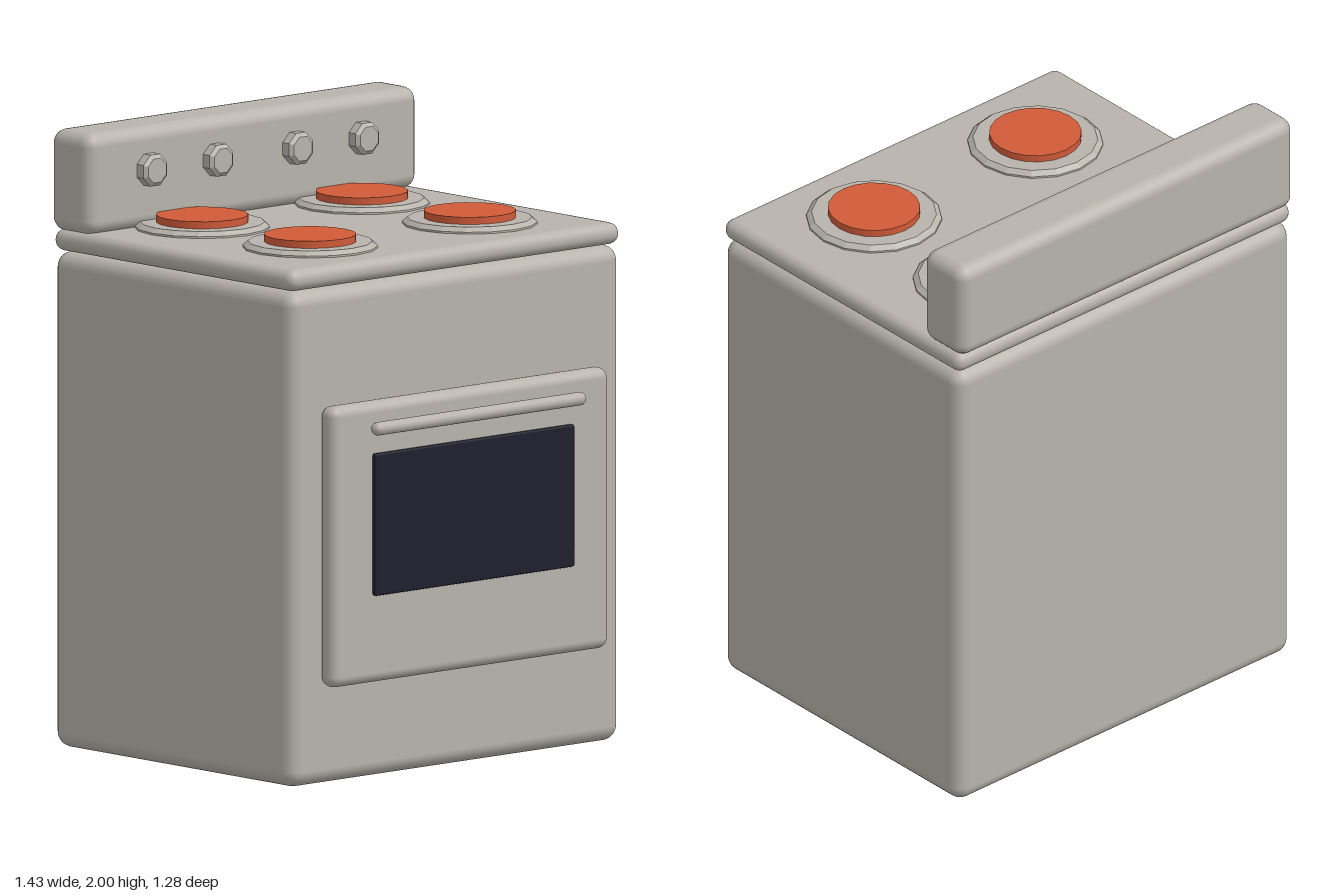
import * as THREE from 'three';
import { RoundedBoxGeometry } from 'three/addons/geometries/RoundedBoxGeometry.js';

export function createModel() {
  const material = (name, color, extra = {}) => {
    const m = new THREE.MeshStandardMaterial({ color, ...extra });
    m.name = name;
    return m;
  };
  const enamel = material('warm grey enamel', 0xb8b4ac);
  const facetedEnamel = enamel;
  const glass = material('dark glass', 0x1f1f2e);
  const hot = material('glowing orange', 0xd05a38);

  const stove = new THREE.Group();
  stove.name = 'stove';

  const add = (name, geometry, mat, x = 0, y = 0, z = 0) => {
    const mesh = new THREE.Mesh(geometry, mat);
    mesh.name = name;
    mesh.position.set(x, y, z);
    stove.add(mesh);
    return mesh;
  };

  // Rounded box given by its lower and upper limits, centred on x = 0
  const block = (name, halfX, y0, y1, z0, z1, radius) =>
    add(name, new RoundedBoxGeometry(halfX * 2, y1 - y0, z1 - z0, 3, radius), enamel,
      0, (y0 + y1) / 2, (z0 + z1) / 2);

  // Faceted solid of revolution with hard edges
  const faceted = (profile, sides) => {
    const points = profile.map(([r, y]) => new THREE.Vector2(r, y));
    const geometry = new THREE.LatheGeometry(points, sides).toNonIndexed();
    geometry.computeVertexNormals();
    return geometry;
  };

  // Cabinet, cooktop and control panel
  block('body', 0.715, 0, 1.605, -0.625, 0.515, 0.05);
  block('cooktop', 0.715, 1.607, 1.677, -0.625, 0.515, 0.034);
  block('controlPanel', 0.715, 1.67, 2, -0.64, -0.445, 0.045);

  // Oven door with window and handle
  block('ovenDoor', 0.6, 0.32, 1.23, 0.512, 0.587, 0.034);
  add('ovenWindow', new RoundedBoxGeometry(0.86, 0.46, 0.03, 1, 0.006), glass, 0, 0.835, 0.588);
  const handle = add('doorHandle', new THREE.CapsuleGeometry(0.022, 0.87, 4, 12), enamel, 0, 1.15, 0.618);
  handle.rotation.z = Math.PI / 2;

  // Four burners: chamfered drip plate and hot plate
  const plate = faceted([[0, 1.67], [0.217, 1.67], [0.217, 1.683], [0.2, 1.697], [0, 1.697]], 16);
  const coil = new THREE.CylinderGeometry(0.148, 0.148, 0.03, 20);
  for (const x of [-0.345, 0.345]) {
    for (const z of [-0.315, 0.197]) {
      add('burnerPlate', plate, facetedEnamel, x, 0, z);
      add('burnerCoil', coil, hot, x, 1.705, z);
    }
  }

  // Row of octagonal control knobs
  const knob = faceted([[0, 0], [0.055, 0], [0.055, 0.033], [0.042, 0.043], [0, 0.043]], 8);
  for (const x of [-0.458, -0.172, 0.172, 0.458]) {
    const mesh = add('controlKnob', knob, facetedEnamel, x, 1.863, -0.447);
    mesh.rotation.set(Math.PI / 2, Math.PI / 8, 0);
  }

  return stove;
}
